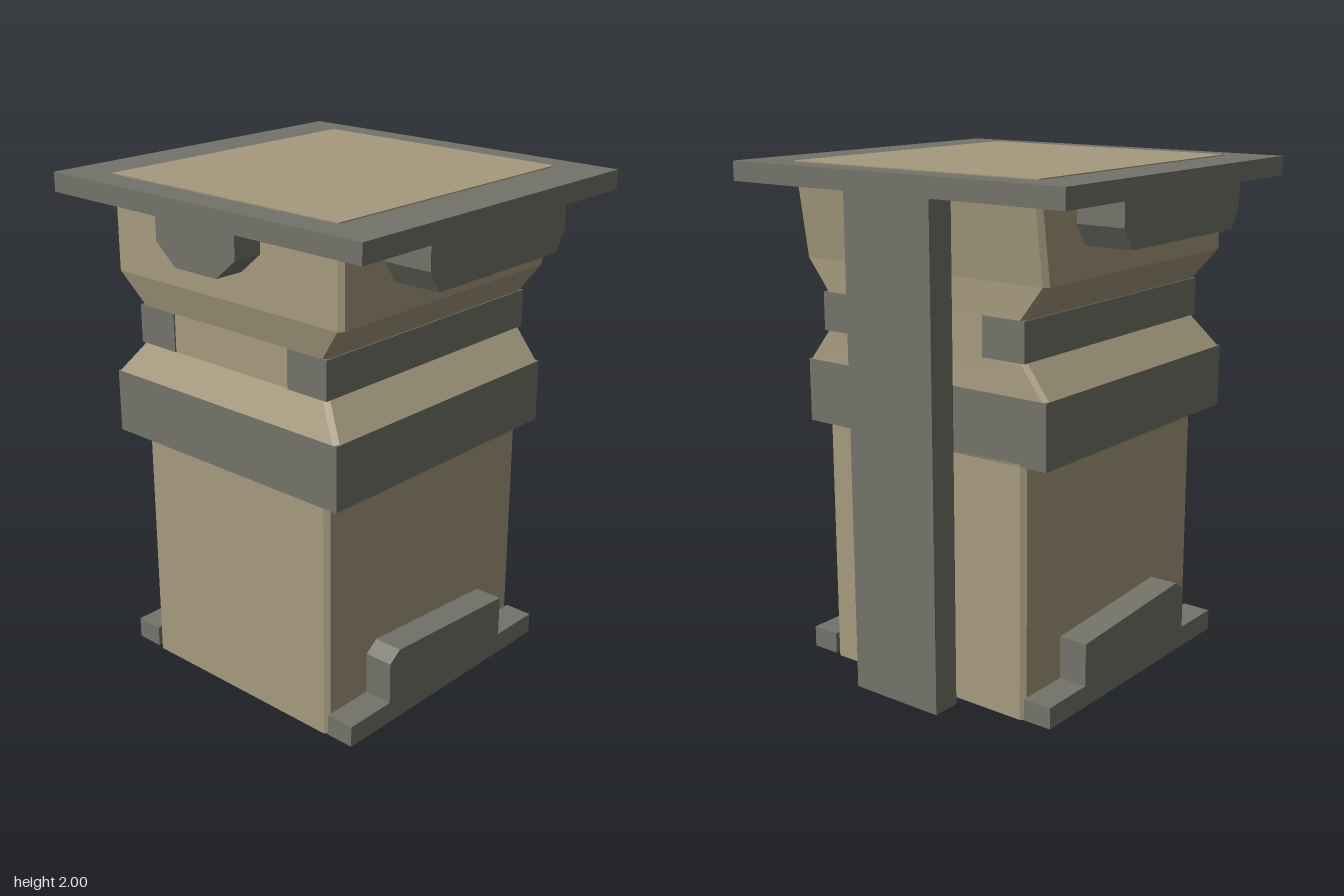
import * as THREE from 'three';

const sand = new THREE.MeshStandardMaterial({ color: 0xa69a7e, side: THREE.DoubleSide });
sand.name = 'sand panel';
const metal = new THREE.MeshStandardMaterial({ color: 0x73736a });
metal.name = 'dark grey metal';

// Chamfered rectangular cross-sections stacked upwards; level = [y, halfWidth, zFront, zBack]
function stack(levels, c) {
  const rings = levels.map(([y, w, f, b]) => [
    [w - c, f], [w, f - c], [w, b + c], [w - c, b],
    [-w + c, b], [-w, b + c], [-w, f - c], [-w + c, f],
  ].map(([x, z]) => [x, y, z]));
  const pos = [];
  for (let i = 0; i < rings.length - 1; i++) {
    for (let j = 0; j < 8; j++) {
      const k = (j + 1) % 8;
      const [p, q, r, s] = [rings[i][j], rings[i][k], rings[i + 1][k], rings[i + 1][j]];
      pos.push(...p, ...q, ...r, ...p, ...r, ...s);
    }
  }
  const g = new THREE.BufferGeometry();
  g.setAttribute('position', new THREE.Float32BufferAttribute(pos, 3));
  g.computeVertexNormals();
  return g;
}

// Outline extruded along +z by depth
function plate(points, depth) {
  const shape = new THREE.Shape(points.map(([x, y]) => new THREE.Vector2(x, y)));
  return new THREE.ExtrudeGeometry(shape, { depth, bevelEnabled: false });
}

export function createModel() {
  const model = new THREE.Group();
  model.name = 'pedestal';
  const add = (name, geometry, material) => {
    const mesh = new THREE.Mesh(geometry, material);
    mesh.name = name;
    model.add(mesh);
    return mesh;
  };
  // Box given by its limits on each axis
  const box = (name, material, [x0, x1], [y0, y1], [z0, z1]) =>
    add(name, new THREE.BoxGeometry(x1 - x0, y1 - y0, z1 - z0)
      .translate((x0 + x1) / 2, (y0 + y1) / 2, (z0 + z1) / 2), material);

  // Lower column, open underneath
  add('column', stack([
    [0, 0.48, 0.58, -0.56],
    [0.99, 0.48, 0.58, -0.56],
  ], 0.018), sand);

  // Belt around the middle
  box('belt', metal, [-0.575, 0.575], [0.98, 1.23], [-0.56, 0.635]);

  // Waist and flared head
  add('waistAndHead', stack([
    [1.23, 0.575, 0.635, -0.56],
    [1.355, 0.477, 0.577, -0.557],
    [1.505, 0.477, 0.577, -0.557],
    [1.63, 0.575, 0.61, -0.56],
    [1.93, 0.575, 0.61, -0.605],
  ], 0.018), sand);

  // Top slab with inlaid panel
  box('topSlab', metal, [-0.77, 0.77], [1.92, 1.996], [-0.73, 0.73]);
  box('topPanel', sand, [-0.578, 0.56], [1.992, 2], [-0.613, 0.605]);

  // Front bracket under the slab
  const front = add('frontBracket', plate([
    [-0.2, 1.925], [-0.2, 1.83], [-0.105, 1.75], [0.105, 1.75], [0.2, 1.83], [0.2, 1.925],
  ], 0.13), metal);
  front.position.z = 0.6;

  // Side parts; the outlines run along z and are turned to face sideways
  for (const side of [-1, 1]) {
    const label = side > 0 ? 'left' : 'right';
    const turned = (name, points, inner, outer) => {
      const mesh = add(name, plate(points.map(([z, y]) => [-z, y]), outer - inner), metal);
      mesh.rotation.y = Math.PI / 2;
      mesh.position.x = side > 0 ? inner : -outer;
    };
    turned(label + 'Bracket', [
      [0.39, 1.925], [0.39, 1.83], [0.34, 1.75], [-0.34, 1.75], [-0.39, 1.83], [-0.39, 1.925],
    ], 0.57, 0.77);
    turned(label + 'Foot', [
      [0.58, 0.005], [0.58, 0.09], [0.36, 0.09], [0.36, 0.26], [0.305, 0.3],
      [-0.335, 0.26], [-0.335, 0.09], [-0.56, 0.09], [-0.56, 0.005],
    ], 0.482, 0.6);

    // Clamp wrapping each side of the waist
    const xs = side > 0 ? [0.295, 0.482] : [-0.482, -0.295];
    box(label + 'Clamp', metal, xs, [1.355, 1.505], [-0.562, 0.583]);
  }

  // Upright duct behind the column
  box('rearDuct', metal, [-0.2, 0.2], [0.005, 1.925], [-0.728, -0.612]);

  return model;
}
